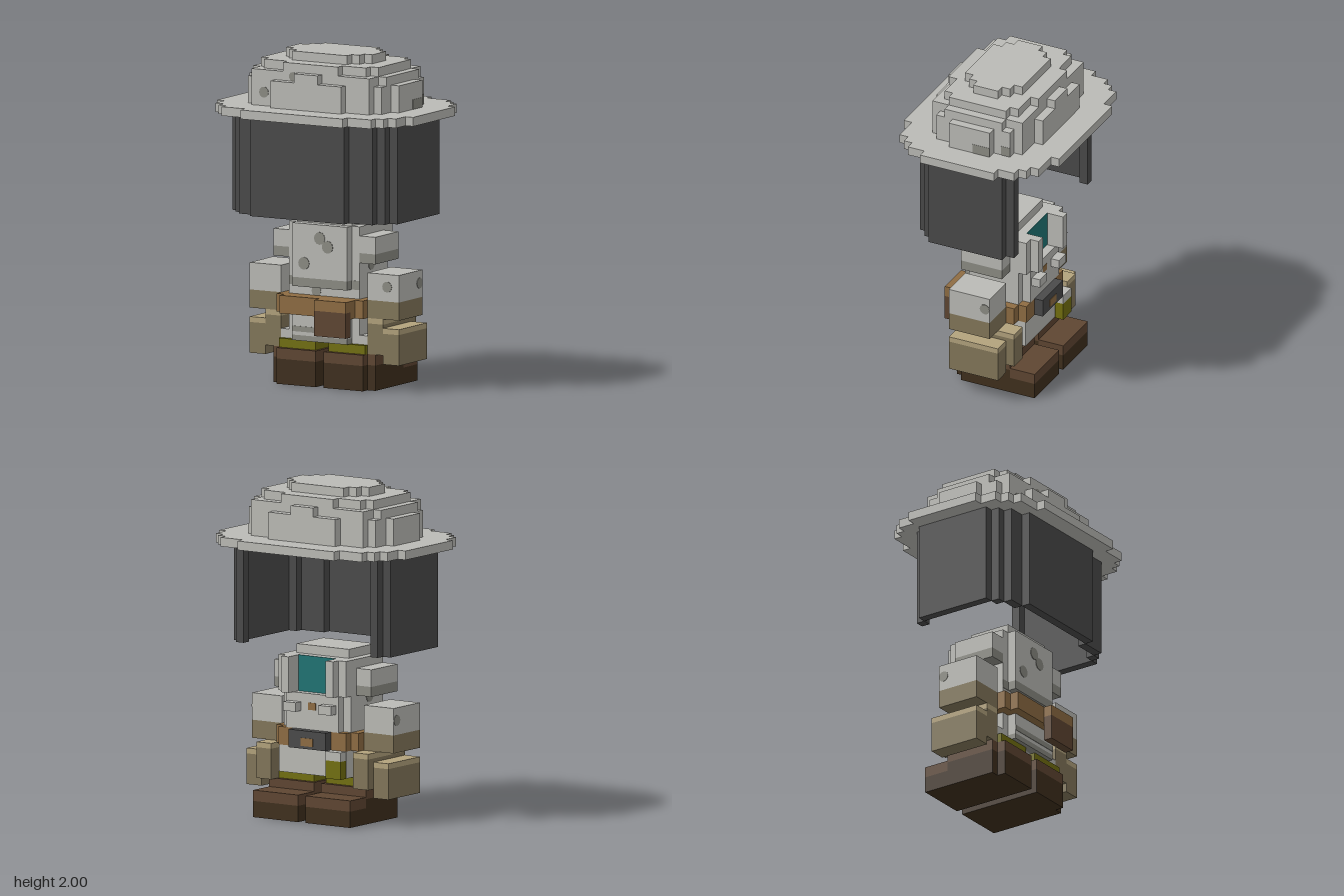
import * as THREE from 'three';

const V = 2 / 37; // one block of the grid

const material = (name, color) => {
  const m = new THREE.MeshStandardMaterial({ color });
  m.name = name;
  return m;
};

export function createModel() {
  const stone = material('light stone', 0xbbbbb6);
  const spot = material('stone spot', 0x8c8c84);
  const charcoal = material('charcoal', 0x4a4a4a);
  const leather = material('belt leather', 0x8f6d43);
  const brown = material('brown', 0x5f4632);
  const darkBrown = material('dark brown', 0x3f2f1d);
  const olive = material('olive', 0x73700f);
  const tan = material('tan', 0xb3a37d);
  const darkTan = material('dark tan', 0x83775a);
  const teal = material('teal', 0x1f7474);

  const root = new THREE.Group();
  root.name = 'figure';
  const part = (name) => {
    const g = new THREE.Group();
    g.name = name;
    root.add(g);
    return g;
  };
  const add = (group, name, geometry, mat) => {
    const mesh = new THREE.Mesh(geometry, mat);
    mesh.name = name;
    group.add(mesh);
    return mesh;
  };
  // Box from its limits, in blocks
  const box = (group, name, mat, x0, x1, y0, y1, z0, z1) => {
    const g = new THREE.BoxGeometry((x1 - x0) * V, (y1 - y0) * V, (z1 - z0) * V);
    g.translate(((x0 + x1) / 2) * V, ((y0 + y1) / 2) * V, ((z0 + z1) / 2) * V);
    return add(group, name, g, mat);
  };
  const pair = (group, name, mat, x0, x1, ...rest) => {
    box(group, name + 'Left', mat, x0, x1, ...rest);
    box(group, name + 'Right', mat, -x1, -x0, ...rest);
  };
  // Stepped oval slab; rows are [half depth, half width] from the middle outwards
  const slab = (group, name, rows, y0, y1) => {
    const quarter = [];
    let z = 0;
    for (const [depth, width] of rows) {
      quarter.push([width, z], [width, depth]);
      z = depth;
    }
    const back = [...quarter].reverse();
    const outline = [
      ...quarter,
      ...back.map(([x, d]) => [-x, d]),
      ...quarter.map(([x, d]) => [-x, -d]),
      ...back.map(([x, d]) => [x, -d]),
    ].filter((p, i, a) => {
      const q = a[(i + 1) % a.length];
      return p[1] !== 0 && (p[0] !== q[0] || p[1] !== q[1]);
    });
    const shape = new THREE.Shape(outline.map(([x, d]) => new THREE.Vector2(x * V, d * V)));
    const g = new THREE.ExtrudeGeometry(shape, { depth: (y1 - y0) * V, bevelEnabled: false });
    g.rotateX(-Math.PI / 2).translate(0, y0 * V, 0);
    return add(group, name, g, stone);
  };
  // Thin round spot facing front ('z') or sideways ('x')
  const dot = (group, axis, x, y, z, r) => {
    const g = new THREE.CylinderGeometry(r * V, r * V, 0.006, 12);
    if (axis === 'z') g.rotateX(Math.PI / 2);
    else g.rotateZ(Math.PI / 2);
    g.translate(x * V, y * V, z * V);
    add(group, 'spot', g, spot);
  };

  // Hat: brim and stepped dome
  const hat = part('hat');
  slab(hat, 'brim', [[4.5, 12.5], [6.5, 11.5], [7.5, 10.5], [8.5, 9.5], [9.5, 6.5]], 30, 31);
  slab(hat, 'domeBase', [[2.5, 9.5], [4.5, 8.5], [5.5, 7.5], [6.5, 4.5]], 31, 34);
  slab(hat, 'domeMiddle', [[3.5, 8.5], [5.5, 7.5], [6.5, 1.5]], 34, 35);
  slab(hat, 'domeUpper', [[3.5, 7.5], [4.5, 6.5], [5.5, 3.5]], 35, 36);
  slab(hat, 'domeTop', [[1.5, 5.5], [2.5, 4.5], [3.5, 3.5]], 36, 37);
  dot(hat, 'z', -5.9, 32.5, 5.5, 0.6);
  dot(hat, 'z', -2.2, 34.5, 5.5, 0.5);
  box(hat, 'sideSpot', spot, 9.45, 9.54, 31, 32.1, -2.5, -0.4);
  box(hat, 'sideSpot', spot, 8.45, 8.54, 31, 32.1, -4.5, -3.4);
  box(hat, 'undersideSpot', spot, -8.5, 8.5, 29.95, 30.02, -2.5, 5.5);

  // Curtain below the brim, open at the back
  const curtain = part('curtain');
  box(curtain, 'curtainFront', charcoal, -6.5, 5.5, 19, 30, 6.5, 7.5);
  box(curtain, 'curtainStepRight', charcoal, -8.5, -6.5, 19, 30, 5.5, 6.5);
  box(curtain, 'curtainStepLeft', charcoal, 5.5, 8.5, 19, 30, 5.5, 6.5);
  pair(curtain, 'curtainCorner', charcoal, 8.5, 9.5, 19, 30, 4.5, 5.5);
  pair(curtain, 'curtainSide', charcoal, 9.5, 10.5, 19, 30, -4.5, 4.5);
  pair(curtain, 'curtainLip', charcoal, 8.5, 9.5, 19, 30, -5.5, -4.5);

  // Head and torso
  const body = part('body');
  box(body, 'crown', stone, -3.5, 3.5, 18, 19, -2.5, 2.5);
  box(body, 'torso', stone, -4.5, 4.5, 10, 18, -3.5, 2.5);
  box(body, 'torsoFront', stone, -3.5, 3.5, 12, 18, 2.5, 3.5);
  box(body, 'torsoBand', spot, -3.5, 3.5, 11, 12, 2.5, 3.5);
  pair(body, 'torsoBandEnd', spot, 3.5, 4.5, 11, 12, 2.45, 2.55);
  pair(body, 'ear', stone, 4.5, 6.5, 15.1, 17, -2.5, 2.5);
  pair(body, 'earLower', spot, 4.5, 6.5, 14, 15.1, -2.5, 2.5);
  pair(body, 'windowColumn', stone, 2.5, 3.5, 14, 18, -5.5, -3.5);
  pair(body, 'windowColumnSide', stone, 3.5, 4.5, 14, 18, -4.5, -3.5);
  box(body, 'window', teal, -2.5, 2.5, 14, 18, -3.56, -3.45);
  box(body, 'chest', stone, -3.5, 3.5, 10, 14, -4.5, -3.5);
  pair(body, 'stud', stone, 1.5, 3.2, 12, 13, -5.5, -4.5);
  box(body, 'chestMark', leather, -0.5, 0.5, 12.2, 13, -4.55, -4.45);
  for (const [x, y] of [[0, 16.5], [1, 15.6], [-2, 13.6]]) dot(body, 'z', x, y, 3.5, 0.7);
  dot(body, 'z', -1, 10.5, 2.5, 0.6);
  for (const s of [-1, 1]) dot(body, 'x', s * 4.5, 13.6, 0, 0.65);

  // Belt with pouch and buckle, hips below
  const belt = part('belt');
  box(belt, 'beltSides', leather, -5.5, 5.5, 8, 10, -3.5, 3.5);
  box(belt, 'beltFrontAndBack', leather, -4.5, 4.5, 8, 10, -4.5, 4.5);
  box(belt, 'pouchFlap', leather, 0.5, 4.5, 8.8, 10, 4.5, 5.5);
  box(belt, 'pouch', brown, 0.5, 4.5, 6, 8.8, 4.5, 5.5);
  box(belt, 'buckle', charcoal, -2.5, 2.5, 8, 10, -5.5, -4.5);
  box(belt, 'buckleMark', leather, -0.8, 0.8, 8.3, 9.2, -5.55, -5.45);
  box(belt, 'sidePocket', olive, -4.5, -2.5, 5, 7, -5.5, -4.5);
  box(belt, 'sidePocketFlap', stone, -4.5, -2.5, 7, 8, -5.5, -4.5);

  const hips = part('hips');
  box(hips, 'hips', stone, -4.5, 4.5, 5, 8, -4.4, 2.5);
  box(hips, 'hipsFront', stone, -3.5, 3.5, 5.6, 8, 2.5, 3.5);
  box(hips, 'hipsFrontHem', spot, -3.5, 3.5, 5, 5.6, 2.5, 3.5);
  box(hips, 'hipsBand', spot, -3.5, 3.5, 6, 6.6, 3.45, 3.55);
  pair(hips, 'hipSide', stone, 4.5, 5.5, 5, 6, -2.5, 2.5);
  pair(hips, 'leg', olive, 0.8, 5.5, 4, 5, -3, 3);

  // Arms, cuffs and hands
  const arms = part('arms');
  pair(arms, 'sleeve', stone, 5.5, 9.5, 10, 13, -2.5, 2.5);
  pair(arms, 'cuff', darkTan, 5.5, 9.5, 8, 10, -2.5, 2.5);
  pair(arms, 'palmTop', tan, 5.5, 7.5, 7.4, 8, -4.5, 2.5);
  pair(arms, 'palm', darkTan, 5.5, 7.5, 4, 7.4, -4.5, 2.5);
  pair(arms, 'handTop', tan, 7.5, 9.5, 6.4, 7, -3.5, 2.5);
  pair(arms, 'hand', darkTan, 7.5, 9.5, 3, 6.4, -3.5, 2.5);
  dot(arms, 'z', 8, 11.6, 2.5, 0.6);
  for (const s of [-1, 1]) dot(arms, 'x', s * 9.5, 11.6, -1.9, 0.6);

  // Boots, toes pointing to the back
  const boots = part('boots');
  pair(boots, 'sole', darkBrown, 0.5, 6.5, 0, 1.8, -6.5, 2.5);
  pair(boots, 'ankle', darkBrown, 0.5, 6.5, 1.8, 2.8, -3.5, 2.5);
  pair(boots, 'toe', brown, 0.5, 6.5, 1.8, 3, -6.5, -3.5);
  pair(boots, 'shaft', brown, 0.5, 6.5, 2.8, 4, -3.5, 2.5);
  pair(boots, 'heel', darkBrown, 0.5, 5.5, 0, 2.8, 2.5, 3.5);
  pair(boots, 'heelTop', brown, 0.5, 5.5, 2.8, 4, 2.5, 3.5);

  return root;
}
